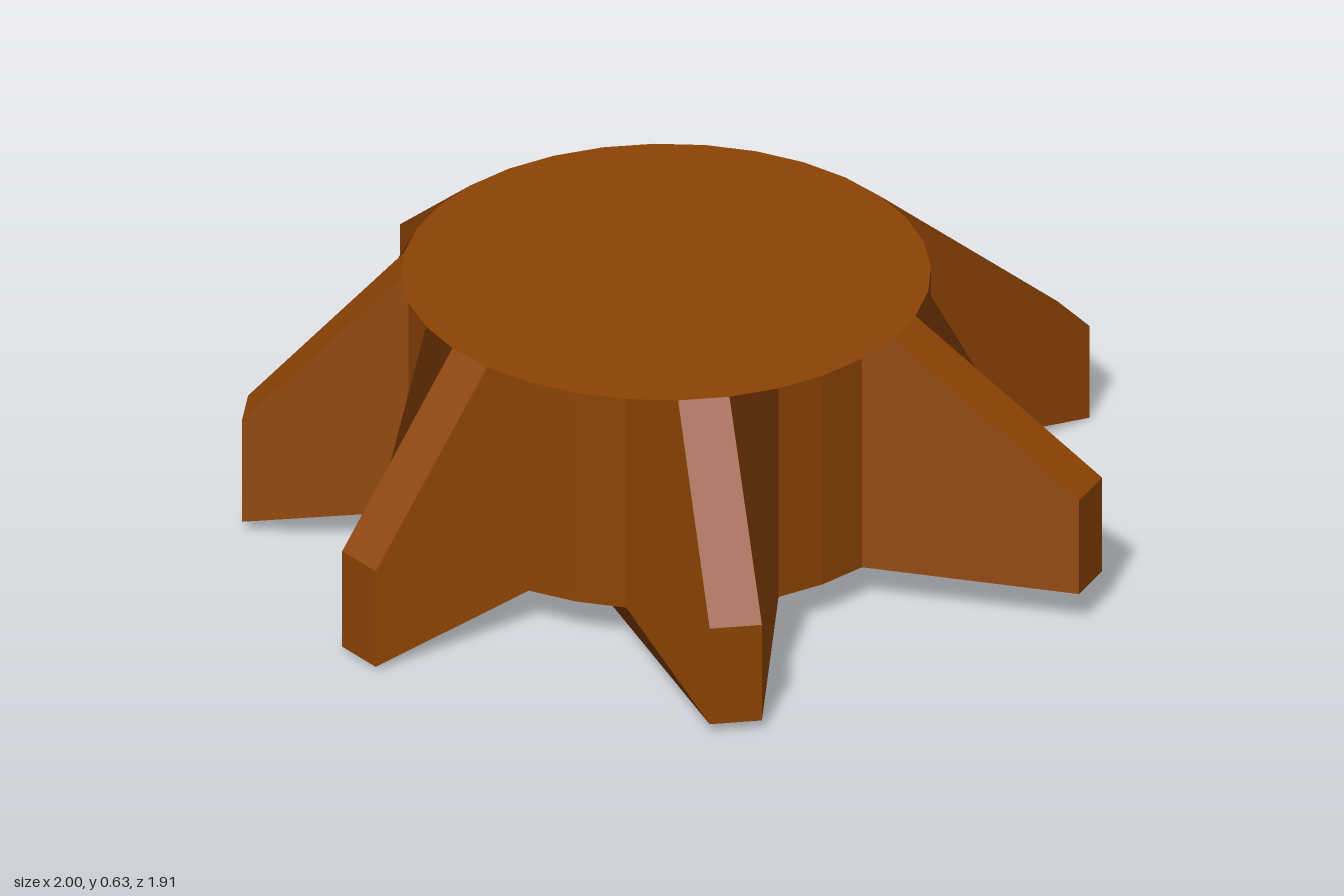
import * as THREE from 'three';

const SIDES = 32, RADIUS = 0.595, CX = -0.05, CZ = -0.01, LOW = 0.095, HIGH = 0.63;

// First trunk corner, the two end corners (x, z) and the end's heights
const ROOTS = {
  left: { k: 31, a: [1, 0.045], b: [0.99, 0.18], bottom: 0, top: 0.235 },
  frontLeft: { k: 4, a: [0.495, 0.9], b: [0.39, 0.955], bottom: 0.09, top: 0.33 },
  frontRight: { k: 9, a: [-0.46, 0.91], b: [-0.565, 0.855], bottom: 0.025, top: 0.27 },
  right: { k: 14, a: [-0.995, 0.175], b: [-1, 0.055], bottom: 0.01, top: 0.255 },
  backRight: { k: 18, a: [-0.86, -0.515], b: [-0.78, -0.6], bottom: 0.03, top: 0.29 },
  back: { k: 22, a: [-0.11, -0.935], b: [0.015, -0.96], bottom: 0.045, top: 0.36 },
  backLeft: { k: 26, a: [0.495, -0.8], b: [0.585, -0.725], bottom: 0.095, top: 0.34 },
};

// Corner k of the trunk outline at height y, counted from +x towards +z
function rim(k, y) {
  const a = (k / SIDES) * Math.PI * 2;
  return [CX + RADIUS * Math.cos(a), y, CZ + RADIUS * Math.sin(a)];
}

const low = (...ks) => ks.map((k) => rim(k, LOW));
const tip = ([x, z], y) => [x, y, z];

// Polygons split as fans from their first corner, each shaded with one normal
function fromPolygons(polygons) {
  const points = [], normals = [];
  for (const p of polygons) {
    const v = p.map((c) => new THREE.Vector3(...c));
    const normal = new THREE.Vector3();
    for (let i = 1; i < v.length - 1; i++) {
      const e = v[i].clone().sub(v[0]);
      normal.add(e.cross(v[i + 1].clone().sub(v[0])));
      points.push(...p[0], ...p[i], ...p[i + 1]);
    }
    normal.normalize();
    for (let i = 0; i < (p.length - 2) * 3; i++) normals.push(...normal.toArray());
  }
  const geometry = new THREE.BufferGeometry();
  geometry.setAttribute('position', new THREE.Float32BufferAttribute(points, 3));
  geometry.setAttribute('normal', new THREE.Float32BufferAttribute(normals, 3));
  return geometry;
}

// Cut top and the bark facets left open between the roots
function trunkPolygons() {
  const top = [], facets = [];
  for (let k = 0; k < SIDES; k++) {
    top.unshift(rim(k, HIGH));
    const covered = Object.values(ROOTS).some((r) => (k - r.k + SIDES) % SIDES < 3);
    if (!covered) facets.push([rim(k, HIGH), rim(k + 1, HIGH), rim(k + 1, LOW), rim(k, LOW)]);
  }
  return [top, ...facets];
}

// A root grows from three trunk facets and narrows to a small upright end
function rootPolygons({ k, a, b, bottom, top }) {
  const [t0, t1, t2, t3] = [0, 1, 2, 3].map((i) => rim(k + i, HIGH));
  const [b0, b3] = low(k, k + 3);
  const aTop = tip(a, top), aLow = tip(a, bottom);
  const bTop = tip(b, top), bLow = tip(b, bottom);
  return [
    [t1, t2, bTop, aTop],             // sloping ridge
    [bLow, aLow, aTop, bTop],         // end
    [bLow, bTop, t2, t3, b3],         // flank
    [aLow, b0, t0, t1, aTop],         // other flank
  ];
}

// Underside: sags between the front right and back roots, other roots join its edge
function undersidePolygons() {
  const ends = (r) => [tip(r.a, r.bottom), tip(r.b, r.bottom)];
  const [frontA, frontB] = ends(ROOTS.frontRight);
  const [backA, backB] = ends(ROOTS.back);
  const joined = [ROOTS.left, ROOTS.frontLeft, ROOTS.right, ROOTS.backRight, ROOTS.backLeft];
  return [
    [frontB, ...low(12), backA, backB, ...low(25, 26, 29, 30, 31, 9), frontA],
    [...low(12, 13, 14, 17, 18, 21, 22), backA],
    low(9, 31, 2, 3, 4, 7, 8),
    ...joined.map((r) => [...low(r.k), ...ends(r), ...low(r.k + 3)]),
  ];
}

export function createModel() {
  const model = new THREE.Group();
  model.name = 'treeStump';
  const bark = new THREE.MeshStandardMaterial({ color: 0x8c4303 });

  const add = (name, polygons) => {
    const mesh = new THREE.Mesh(fromPolygons(polygons), bark);
    mesh.name = name;
    model.add(mesh);
  };
  add('trunk', trunkPolygons());
  add('underside', undersidePolygons());
  for (const [side, root] of Object.entries(ROOTS)) add(`${side}Root`, rootPolygons(root));
  return model;
}
